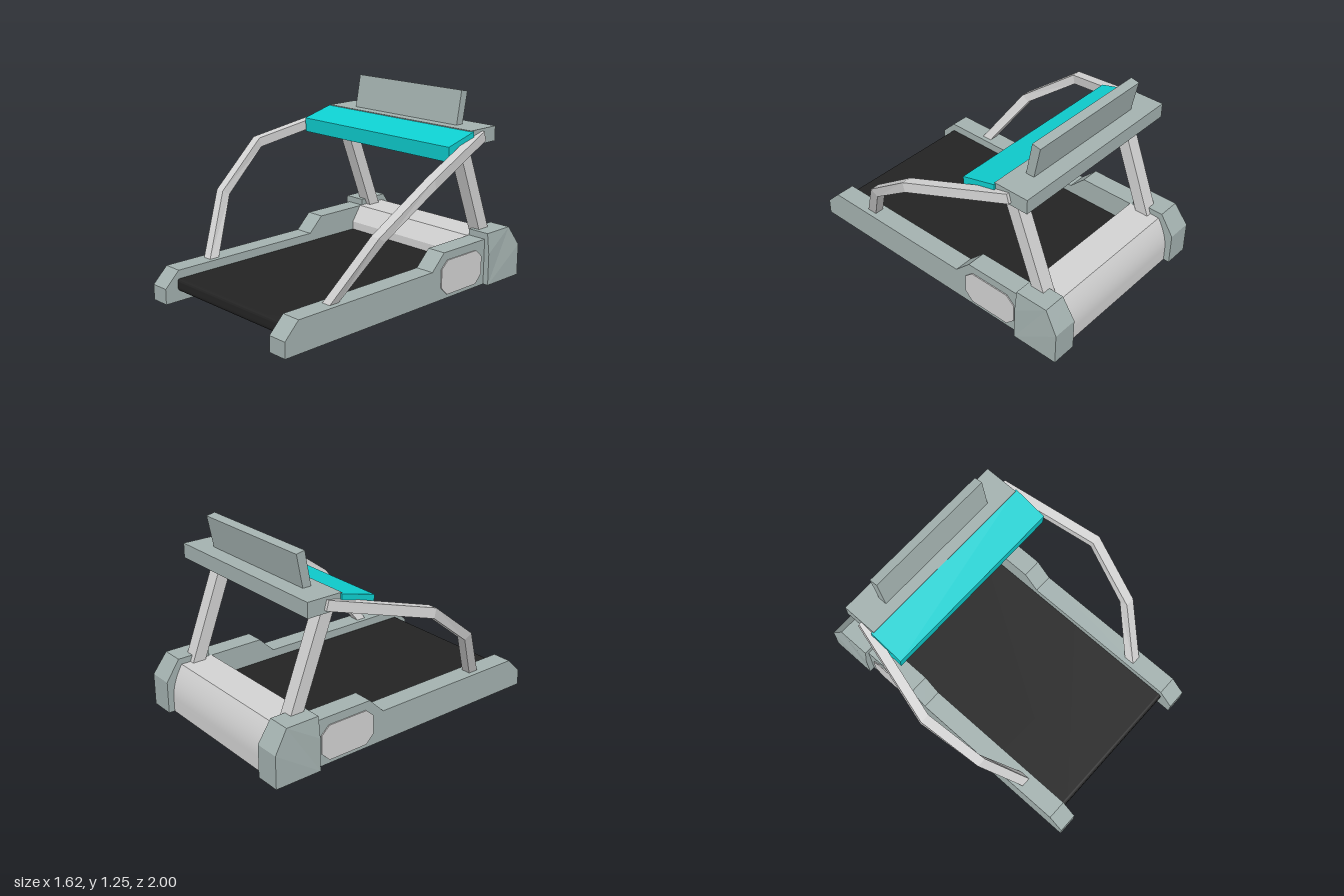
import * as THREE from 'three';
import { toCreasedNormals } from 'three/addons/utils/BufferGeometryUtils.js';

const paint = (name, color) => {
  const m = new THREE.MeshStandardMaterial({ color });
  m.name = name;
  return m;
};

// Shape drawn in (z, y) and extruded from x0 to x1
function slab(shape, x0, x1) {
  const g = new THREE.ExtrudeGeometry(shape, { depth: x1 - x0, bevelEnabled: false, curveSegments: 12 });
  return g.rotateY(-Math.PI / 2).translate(x1, 0, 0);
}
const poly = (pts) => new THREE.Shape(pts.map(([z, y]) => new THREE.Vector2(z, y)));

// Four-sided bar; each node is [x, topZ, topY, underZ, underY]
function bar(nodes, half, side) {
  const pos = [], index = [];
  for (const [x, tz, ty, uz, uy] of nodes) {
    pos.push((x + half) * side, ty, tz, (x - half) * side, ty, tz);
    pos.push((x - half) * side, uy, uz, (x + half) * side, uy, uz);
  }
  const quad = (a, b, c, d) => (side > 0 ? index.push(a, b, c, a, c, d) : index.push(a, c, b, a, d, c));
  for (let i = 0; i < nodes.length - 1; i++) {
    for (let k = 0; k < 4; k++) {
      const a = i * 4 + k, b = i * 4 + ((k + 1) % 4);
      quad(a, a + 4, b + 4, b);
    }
  }
  const e = (nodes.length - 1) * 4;
  quad(0, 1, 2, 3);
  quad(e + 3, e + 2, e + 1, e);
  const g = new THREE.BufferGeometry();
  g.setAttribute('position', new THREE.Float32BufferAttribute(pos, 3));
  g.setIndex(index);
  const flat = g.toNonIndexed();
  flat.computeVertexNormals();
  return flat;
}

export function createModel() {
  const model = new THREE.Group();
  model.name = 'treadmill';
  const body = paint('grey green', 0xa3b1af);
  const metal = paint('light grey', 0xd2d2d2);
  const rubber = paint('belt black', 0x232323);
  const teal = paint('teal', 0x0ecfd0);

  const add = (name, geometry, material) => {
    const mesh = new THREE.Mesh(geometry, material);
    mesh.name = name;
    model.add(mesh);
  };

  // Running belt with a rounded front edge
  const belt = new THREE.Shape();
  belt.moveTo(-0.7, 0.065);
  belt.lineTo(0.89, 0.065);
  belt.quadraticCurveTo(0.91, 0.068, 0.91, 0.095);
  belt.lineTo(0.91, 0.125);
  belt.quadraticCurveTo(0.91, 0.145, 0.89, 0.145);
  belt.lineTo(-0.7, 0.145);
  add('belt', toCreasedNormals(slab(belt, -0.49, 0.49), 0.6), rubber);

  // Motor hood with a curved back
  const hood = new THREE.Shape();
  hood.moveTo(-0.6, 0);
  hood.lineTo(-0.6, 0.2);
  hood.lineTo(-0.67, 0.305);
  hood.lineTo(-0.89, 0.305);
  hood.bezierCurveTo(-0.93, 0.24, -0.96, 0.17, -0.96, 0.09);
  hood.lineTo(-0.96, 0);
  add('motorHood', toCreasedNormals(slab(hood, -0.49, 0.49), 0.5), metal);

  const rail = poly([[1, 0], [1, 0.1], [0.9, 0.2], [-0.19, 0.2], [-0.295, 0.303], [-0.72, 0.303], [-0.72, 0]]);
  const cap = poly([[-0.69, 0], [-0.69, 0.21], [-0.69, 0.345], [-0.91, 0.345], [-1, 0.21], [-1, 0]]);
  const panel = poly([[-0.27, 0.08], [-0.27, 0.2], [-0.325, 0.25], [-0.6, 0.25],
    [-0.655, 0.2], [-0.655, 0.08], [-0.6, 0.025], [-0.325, 0.025]]);
  const post = poly([[-0.757, 0.25], [-0.847, 0.25], [-0.575, 0.955], [-0.485, 0.955]]);
  const handle = [
    [0.55, 0.64, 0.195, 0.57, 0.195],
    [0.705, 0.405, 0.575, 0.35, 0.545],
    [0.777, 0.03, 0.86, 0.015, 0.798],
    [0.613, -0.615, 1.02, -0.632, 0.96],
  ];

  for (const side of [1, -1]) {
    const tag = side > 0 ? 'left' : 'right';
    const mirrored = (shape, a, b) => (side > 0 ? slab(shape, a, b) : slab(shape, -b, -a));
    add(tag + 'SideRail', mirrored(rail, 0.49, 0.618), body);
    add(tag + 'SidePanel', mirrored(panel, 0.617, 0.625), metal);
    add(tag + 'Post', mirrored(post, 0.456, 0.545), metal);
    add(tag + 'Handrail', bar(handle, 0.031, side), metal);

    // Rear cap leans in slightly towards its top
    const capGeometry = mirrored(cap, 0.49, 0.656);
    const p = capGeometry.attributes.position;
    for (let i = 0; i < p.count; i++) {
      if (p.getY(i) > 0.3 && Math.abs(p.getX(i)) > 0.6) p.setX(i, 0.64 * side);
    }
    capGeometry.computeVertexNormals();
    add(tag + 'RearCap', capGeometry, body);
  }

  // Console, angled control board and display
  add('console', slab(poly([[-0.51, 0.94], [-0.51, 1.035], [-0.745, 1.035], [-0.745, 0.94]]), -0.625, 0.625), body);
  add('controlBoard', slab(poly([[-0.287, 0.97], [-0.52, 1.032], [-0.52, 0.942], [-0.295, 0.875]]), -0.638, 0.638), teal);
  add('display', slab(poly([[-0.58, 1.02], [-0.623, 1.252], [-0.68, 1.24], [-0.637, 1.02]]), -0.447, 0.447), body);

  return model;
}
